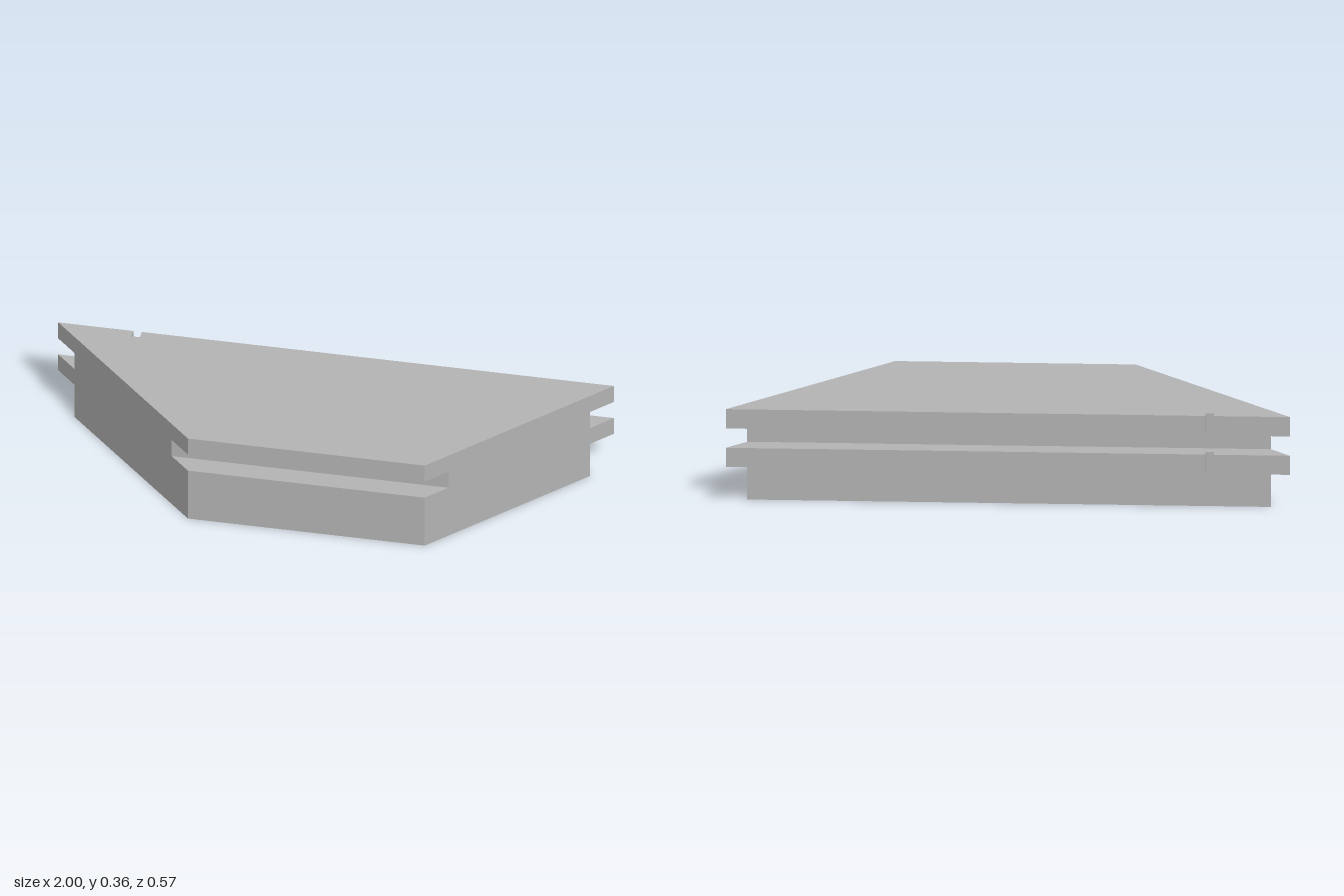
import * as THREE from 'three';

const FRONT = 0.287, BACK = -0.287, INSET = 0.072;
const halfWidth = (z) => 0.7135 - z; // sides splay at 45 degrees towards the back

// Horizontal trapezoid slab between two heights, optionally with the small slot in its back edge
function slab(name, y0, y1, zFront, zBack, slotted, material) {
  const a = halfWidth(zFront), b = halfWidth(zBack);
  const outline = [[-a, zFront], [a, zFront], [b, zBack]];
  if (slotted) {
    const inner = zBack + 0.031;
    outline.push([-0.7, zBack], [-0.7, inner], [-0.73, inner], [-0.73, zBack]);
  }
  outline.push([-b, zBack]);
  const shape = new THREE.Shape(outline.map(([x, z]) => new THREE.Vector2(x, -z)));
  const geometry = new THREE.ExtrudeGeometry(shape, { depth: y1 - y0, bevelEnabled: false });
  geometry.rotateX(-Math.PI / 2).translate(0, y0, 0);
  const mesh = new THREE.Mesh(geometry, material);
  mesh.name = name;
  return mesh;
}

export function createModel() {
  const group = new THREE.Group();
  group.name = 'groovedTrapezoidBlock';
  const grey = new THREE.MeshStandardMaterial({ color: 0xb4b4b4 });
  grey.name = 'grey';

  group.add(
    // base, set back from the rear tongue
    slab('base', 0, 0.144, FRONT, BACK + INSET, false, grey),
    // rear tongue layer
    slab('tongueLayer', 0.144, 0.215, FRONT, BACK, true, grey),
    // recessed core forming the front and back grooves
    slab('grooveCore', 0.215, 0.287, FRONT - INSET, BACK + INSET, false, grey),
    // top plate
    slab('topPlate', 0.287, 0.359, FRONT, BACK, true, grey)
  );
  return group;
}
